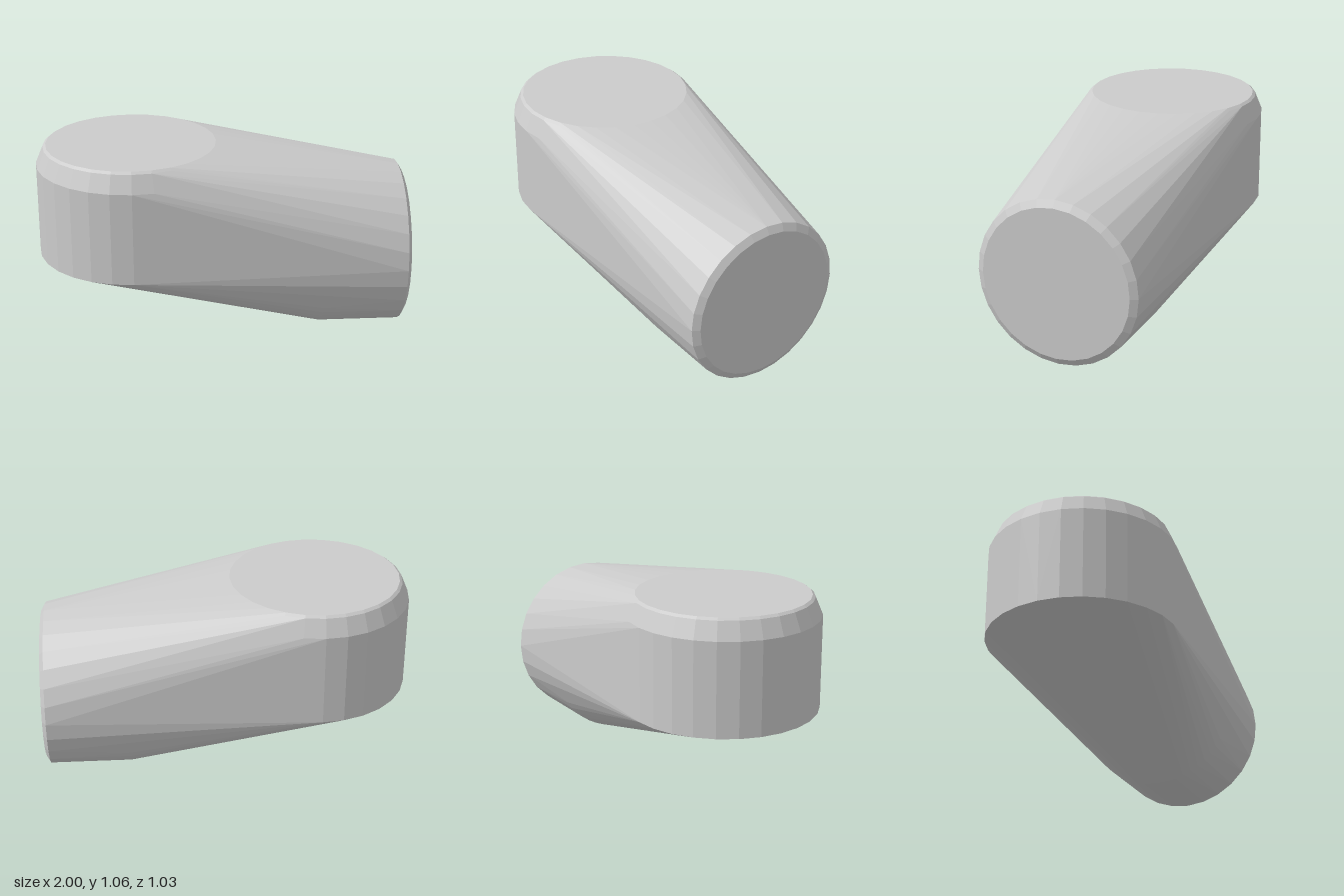
import * as THREE from 'three';
import { ConvexGeometry } from 'three/addons/geometries/ConvexGeometry.js';

const SIDES = 28;

// Ring of points given a function from (cos, sin) to a position
function ring(place, sides = SIDES) {
  return Array.from({ length: sides }, (_, i) => {
    const a = (i / sides) * Math.PI * 2;
    return place(Math.cos(a), Math.sin(a));
  });
}

export function createModel() {
  const group = new THREE.Group();
  group.name = 'taperedElbow';
  const points = [];

  // Upright round end: [height, radius], with a bevelled top rim
  for (const [y, r] of [[0.445, 0.515], [0.95, 0.515], [1.045, 0.475], [1.057, 0.46]]) {
    points.push(...ring((c, s) => new THREE.Vector3(-0.485 + r * c, y, r * s)));
  }

  // Horizontal round end: [x, radius], with a bevelled outer rim
  for (const [x, r, sides] of [[0.5, 0.438, 56], [0.535, 0.448, 56], [0.978, 0.448, SIDES], [1, 0.41, SIDES]]) {
    points.push(...ring((c, s) => new THREE.Vector3(x, 0.448 + r * c, r * s), sides));
  }

  // One taut skin stretched over both round ends
  const body = new THREE.Mesh(
    new ConvexGeometry(points),
    new THREE.MeshStandardMaterial({ color: 0xcccccc, flatShading: true })
  );
  body.name = 'body';
  group.add(body);
  return group;
}
